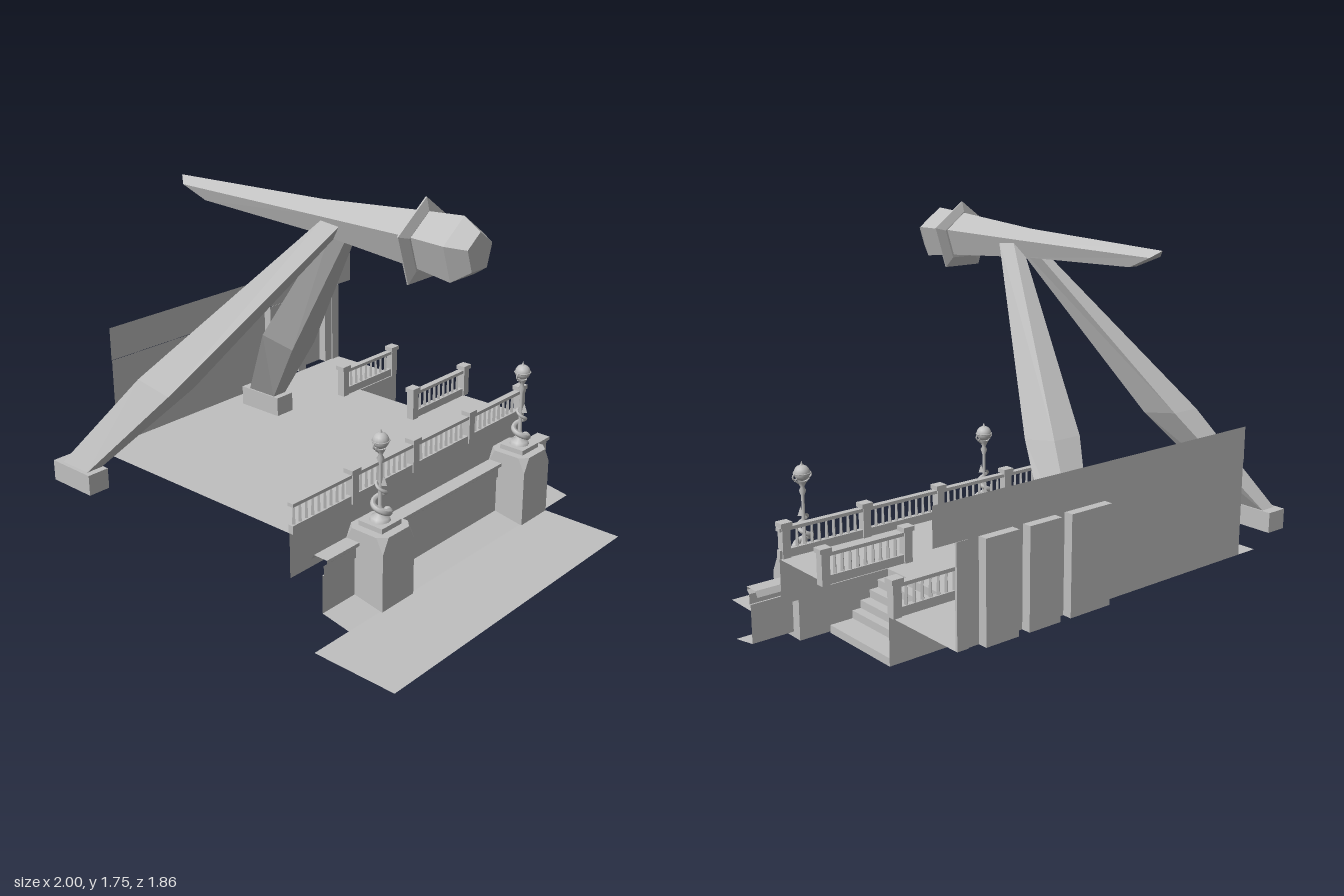
import * as THREE from 'three';
import { ConvexGeometry } from 'three/addons/geometries/ConvexGeometry.js';

const stone = new THREE.MeshStandardMaterial({ color: 0xbfbfbf, side: THREE.DoubleSide });
stone.name = 'grey stone';

const V = (x, y, z) => new THREE.Vector3(x, y, z);

function add(parent, name, geometry, x = 0, y = 0, z = 0) {
  const mesh = new THREE.Mesh(geometry, stone);
  mesh.name = name;
  mesh.position.set(x, y, z);
  parent.add(mesh);
  return mesh;
}

function group(parent, name, x = 0, y = 0, z = 0) {
  const g = new THREE.Group();
  g.name = name;
  g.position.set(x, y, z);
  parent.add(g);
  return g;
}

// box given by its limits
function box(parent, name, x0, x1, y0, y1, z0, z1) {
  return add(parent, name, new THREE.BoxGeometry(x1 - x0, y1 - y0, z1 - z0),
    (x0 + x1) / 2, (y0 + y1) / 2, (z0 + z1) / 2);
}

function fromTriangles(points) {
  const g = new THREE.BufferGeometry().setFromPoints(points);
  g.computeVertexNormals();
  return g;
}

// open faceted sheet between two matching polylines
function sheet(a, b) {
  const t = [];
  for (let i = 0; i < a.length - 1; i++) t.push(a[i], a[i + 1], b[i + 1], a[i], b[i + 1], b[i]);
  return fromTriangles(t);
}

// closed faceted solid through a list of rings
function loft(rings) {
  const t = [], n = rings[0].length, last = rings[rings.length - 1];
  for (let r = 0; r < rings.length - 1; r++) {
    const a = rings[r], b = rings[r + 1];
    for (let i = 0; i < n; i++) {
      const j = (i + 1) % n;
      t.push(a[i], b[i], b[j], a[i], b[j], a[j]);
    }
  }
  for (let i = 1; i < n - 1; i++) {
    t.push(rings[0][0], rings[0][i], rings[0][i + 1], last[0], last[i + 1], last[i]);
  }
  return fromTriangles(t);
}

const flat = (g) => { const f = g.toNonIndexed(); f.computeVertexNormals(); return f; };

function pentagon(z, r, cy) {
  return Array.from({ length: 5 }, (_, i) => {
    const a = Math.PI / 2 + i * Math.PI * 2 / 5;
    return V(Math.cos(a) * r, cy + Math.sin(a) * r, z);
  });
}

// balustrade along x with capped posts and evenly spaced balusters
function balustrade(parent, name, x0, x1, z, posts) {
  const g = group(parent, name, 0, 0, z);
  box(g, 'handrail', x0, x1, 0.518, 0.533, -0.015, 0.015);
  box(g, 'bottomRail', x0, x1, 0.4, 0.437, -0.012, 0.012);
  const count = Math.round((x1 - x0) / 0.036);
  const baluster = flat(new THREE.CylinderGeometry(0.006, 0.009, 0.085, 4));
  for (let i = 0; i < count; i++) {
    const x = x0 + (i + 0.5) * (x1 - x0) / count;
    if (posts.every((p) => Math.abs(p - x) > 0.03)) add(g, 'baluster', baluster, x, 0.477, 0);
  }
  for (const p of posts) {
    box(g, 'post', p - 0.019, p + 0.019, 0.4, 0.535, -0.019, 0.019);
    box(g, 'postCap', p - 0.027, p + 0.027, 0.535, 0.555, -0.024, 0.024);
  }
}

// lamp with a coiled creature around its pole, standing on a corner-cut pedestal
function lampPedestal(parent, x) {
  const g = group(parent, 'lampPedestal', x, 0, 0.41);
  const pts = [];
  for (const sx of [-1, 1]) for (const sz of [-1, 1]) {
    pts.push(V(sx * 0.1, 0, sz * 0.1), V(sx * 0.1, 0.26, sz * 0.1),
      V(sx * 0.1, 0.328, sz * 0.065), V(sx * 0.065, 0.328, sz * 0.1));
  }
  add(g, 'pedestal', new ConvexGeometry(pts));
  box(g, 'lampPlinth', -0.062, 0.062, 0.328, 0.35, -0.062, 0.062);
  const profile = [[0.045, 0.35], [0.04, 0.365], [0.018, 0.38], [0.009, 0.42], [0.007, 0.6], [0.016, 0.625],
    [0.008, 0.64], [0.018, 0.66], [0.022, 0.67]].map((p) => new THREE.Vector2(p[0], p[1]));
  add(g, 'lampPole', new THREE.LatheGeometry(profile, 10));
  const coil = [];
  for (let i = 0; i <= 24; i++) {
    const t = i / 24, a = t * Math.PI * 3.4, r = 0.038 - 0.022 * t;
    coil.push(V(Math.cos(a) * r, 0.372 + 0.15 * t, Math.sin(a) * r));
  }
  const curve = new THREE.CatmullRomCurve3(coil);
  const body = new THREE.TubeGeometry(curve, 48, 0.017, 7);
  // thin the coil towards the tail
  const pos = body.attributes.position, v = V(0, 0, 0);
  for (let i = 0; i < pos.count; i++) {
    const u = Math.floor(i / 8) / 48, c = curve.getPointAt(u);
    v.fromBufferAttribute(pos, i).sub(c).multiplyScalar(1 - 0.65 * u).add(c);
    pos.setXYZ(i, v.x, v.y, v.z);
  }
  body.computeVertexNormals();
  add(g, 'coiledCreature', body);
  add(g, 'creatureHead', new THREE.SphereGeometry(0.022, 8, 6), 0.038, 0.375, 0.008);
  add(g, 'creatureTail', flat(new THREE.ConeGeometry(0.016, 0.04, 4)), 0.004, 0.53, 0.016);
  add(g, 'lampGlobe', new THREE.SphereGeometry(0.035, 14, 10), 0, 0.703, 0);
  add(g, 'globeBand', new THREE.TorusGeometry(0.036, 0.003, 5, 16).rotateX(Math.PI / 2), 0, 0.703, 0);
  add(g, 'finial', new THREE.ConeGeometry(0.01, 0.025, 6), 0, 0.742, 0);
  for (const s of [-1, 1]) {
    add(g, 'scroll', new THREE.TorusGeometry(0.013, 0.004, 5, 12), s * 0.033, 0.69, 0);
    add(g, 'bracket', new THREE.CylinderGeometry(0.004, 0.004, 0.045, 5).rotateZ(-s * 0.9), s * 0.018, 0.66, 0);
  }
}

export function createModel() {
  const root = new THREE.Group();
  root.name = 'riversideTerrace';

  // deck with a notch for the stairs
  const outline = [[-0.69, -0.28], [0.9, -0.28], [0.9, 0.09], [0.565, 0.09], [0.565, 0.49], [0.9, 0.49],
    [0.9, 0.89], [-0.69, 0.89]].map((p) => new THREE.Vector2(p[0], p[1]));
  add(root, 'deck', new THREE.ShapeGeometry(new THREE.Shape(outline)).rotateX(-Math.PI / 2), 0, 0.4, 0);
  add(root, 'deckFrontWall', new THREE.PlaneGeometry(1.59, 0.2), 0.105, 0.3, 0.28);

  // stairs going down towards +x
  const edges = [0.565, 0.62, 0.67, 0.71, 0.755, 0.795, 0.9];
  const steps = [];
  for (let i = 0; i < 6; i++) {
    const y = 0.4 - i * 0.2 / 6;
    steps.push([edges[i], y], [edges[i + 1], y]);
  }
  steps.push([0.9, 0.2]);
  add(root, 'stairs', sheet(steps.map((p) => V(p[0], p[1], -0.09)), steps.map((p) => V(p[0], p[1], -0.49))));
  for (const z of [-0.49, -0.09]) {
    add(root, 'stairSide', new THREE.PlaneGeometry(0.335, 0.2), 0.7325, 0.3, z);
  }

  // balustrades
  balustrade(root, 'frontBalustrade', -0.69, 0.9, 0.287, [-0.325, 0.07, 0.47, 0.87]);
  balustrade(root, 'stairBalustradeBack', 0.515, 0.89, -0.508, [0.515, 0.885]);
  balustrade(root, 'stairBalustradeFront', 0.515, 0.915, -0.073, [0.515, 0.912]);

  // back wall with three niches set back
  const wall = [[-0.59, -0.89]];
  for (const [a, b] of [[0.2, 0.4], [0.45, 0.6], [0.65, 0.8]]) {
    wall.push([a, -0.89], [a, -0.93], [b, -0.93], [b, -0.89]);
  }
  wall.push([0.9, -0.89]);
  add(root, 'backWall', sheet(wall.map((p) => V(p[0], 0.4, p[1])), wall.map((p) => V(p[0], 0.8, p[1]))));
  add(root, 'nicheTops', new THREE.ShapeGeometry(new THREE.Shape(
    wall.map((p) => new THREE.Vector2(p[0], -p[1])))).rotateX(-Math.PI / 2), 0, 0.8, 0);
  box(root, 'wallEndStrip', 0.85, 0.9, 0.4, 0.8, -0.895, -0.885);
  add(root, 'wallBand', new THREE.PlaneGeometry(1.59, 0.15), 0.205, 0.875, -0.893);

  // lower parapet with cornice and sloping foot, and the ground strip before it
  const parapet = [[0.3, 0.25], [0.315, 0.275], [0.385, 0.275], [0.385, 0.26], [0.368, 0.245],
    [0.368, 0.2], [0.36, 0.2], [0.36, 0.025], [0.5, 0]];
  add(root, 'parapet', sheet(parapet.map((p) => V(-0.59, p[1], p[0])), parapet.map((p) => V(1, p[1], p[0]))));
  add(root, 'groundStrip', new THREE.PlaneGeometry(1.59, 0.4).rotateX(-Math.PI / 2), 0.005, 0, 0.7);
  for (const x of [-0.295, 0.7]) lampPedestal(root, x);

  // leaning support: pentagonal beam with a collar, carried by two legs
  const support = group(root, 'leaningSupport', -0.395, 0, 0);
  const tip = [V(0, 1.645, -0.59), V(-0.032, 1.615, -0.55), V(-0.022, 1.565, -0.43),
    V(0.022, 1.565, -0.43), V(0.032, 1.615, -0.55)];
  add(support, 'beam', loft([pentagon(0.93, 0.075, 1.595), pentagon(0.86, 0.124, 1.591),
    pentagon(0.7, 0.108, 1.597), pentagon(0.2, 0.068, 1.6), tip]));
  add(support, 'collar', loft([pentagon(0.707, 0.115, 1.592), pentagon(0.695, 0.166, 1.589),
    pentagon(0.689, 0.166, 1.589), pentagon(0.675, 0.115, 1.592)]));

  // leg sections: inner x, outer x, back y and z, front y and z
  const sections = [[0.515, 0.59, 0.485, -0.76, 0.485, -0.6], [0.285, 0.425, 0.9, -0.43, 0.87, -0.25],
    [0.015, 0.06, 1.61, 0.25, 1.61, 0.35]];
  for (const s of [-1, 1]) {
    const rings = sections.map(([a, b, yb, zb, yf, zf]) => {
      const ring = [V(s * a, yb, zb), V(s * b, yb, zb), V(s * b, yf, zf), V(s * a, yf, zf)];
      return s > 0 ? ring : ring.reverse();
    });
    add(support, s > 0 ? 'leftLeg' : 'rightLeg', loft(rings));
    const c = s * 0.555;
    box(support, 'legFoot', c - 0.05, c + 0.05, 0.4, 0.49, -0.8, -0.565);
  }
  return root;
}
